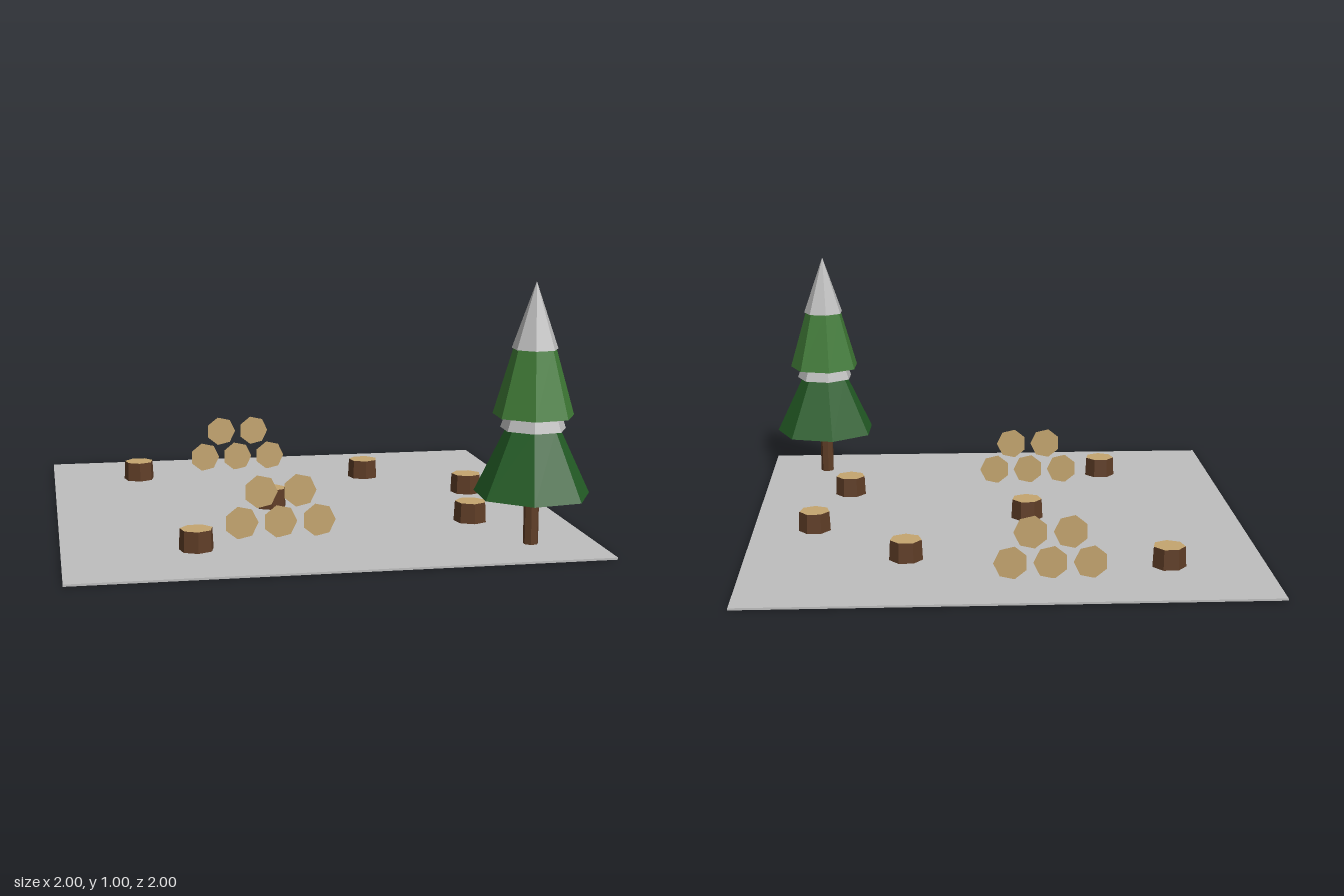
import * as THREE from 'three';

const mat = (name, color, side = THREE.FrontSide) => {
  const m = new THREE.MeshStandardMaterial({ color, side, flatShading: true });
  m.name = name;
  return m;
};

export function createModel() {
  const snow = mat('snow', 0xbebebe, THREE.DoubleSide);
  const bark = mat('bark', 0x5f3d26);
  const cutWood = mat('cut wood', 0xc4a56f, THREE.DoubleSide);
  const darkNeedles = mat('dark needles', 0x235c25, THREE.DoubleSide);
  const lightNeedles = mat('light needles', 0x3f7a36, THREE.DoubleSide);

  const model = new THREE.Group();
  model.name = 'snowyClearing';
  const SIDES = 7;

  const add = (parent, name, geometry, material, x = 0, y = 0, z = 0) => {
    const mesh = new THREE.Mesh(geometry, material);
    mesh.name = name;
    mesh.position.set(x, y, z);
    parent.add(mesh);
    return mesh;
  };

  // Thin square of snowy ground
  add(model, 'ground', new THREE.BoxGeometry(2, 0.008, 2), snow, 0, 0.006, 0);

  // Tree stumps: bark sides with a pale cut top
  const stumpGeo = new THREE.CylinderGeometry(0.0625, 0.067, 0.085, SIDES);
  const stumpSpots = [
    [-0.625, -0.63], [0.375, -0.505], [0.75, -0.13],
    [-0.125, -0.003], [0.625, 0.37], [-0.5, 0.622],
  ];
  for (const [x, z] of stumpSpots) {
    add(model, 'stump', stumpGeo, [bark, cutWood, bark], x, 0.0475, z);
  }

  // Stacked log ends: rows of three and two, at both ends of the pile
  const logGeo = new THREE.CircleGeometry(0.0655, SIDES);
  for (const z of [0.5, -0.75]) {
    const stack = new THREE.Group();
    stack.name = 'logStack';
    stack.position.z = z;
    model.add(stack);
    for (let row = 0; row < 2; row++) {
      for (let i = 0; i < 3 - row; i++) {
        add(stack, 'logEnd', logGeo, cutWood, -0.315 + row * 0.075 + i * 0.15, 0.072 + row * 0.119, 0);
      }
    }
  }

  // Fir tree: open tiers over a trunk
  const tree = new THREE.Group();
  tree.name = 'firTree';
  tree.position.set(0.75, 0, 0.75);
  tree.rotation.y = 0.625;
  model.add(tree);
  const tier = (name, material, y0, y1, r0, r1, open = true) =>
    add(tree, name, new THREE.CylinderGeometry(r1, r0, y1 - y0, SIDES, 1, open), material, 0, (y0 + y1) / 2, 0);
  tier('trunk', bark, 0, 0.45, 0.029, 0.029, false);
  tier('lowerBranches', darkNeedles, 0.2, 0.455, 0.222, 0.1);
  tier('snowBand', snow, 0.45, 0.52, 0.125, 0.1);
  tier('upperBranches', lightNeedles, 0.5, 0.755, 0.155, 0.08);
  tier('snowCap', snow, 0.75, 1, 0.088, 0);

  return model;
}
